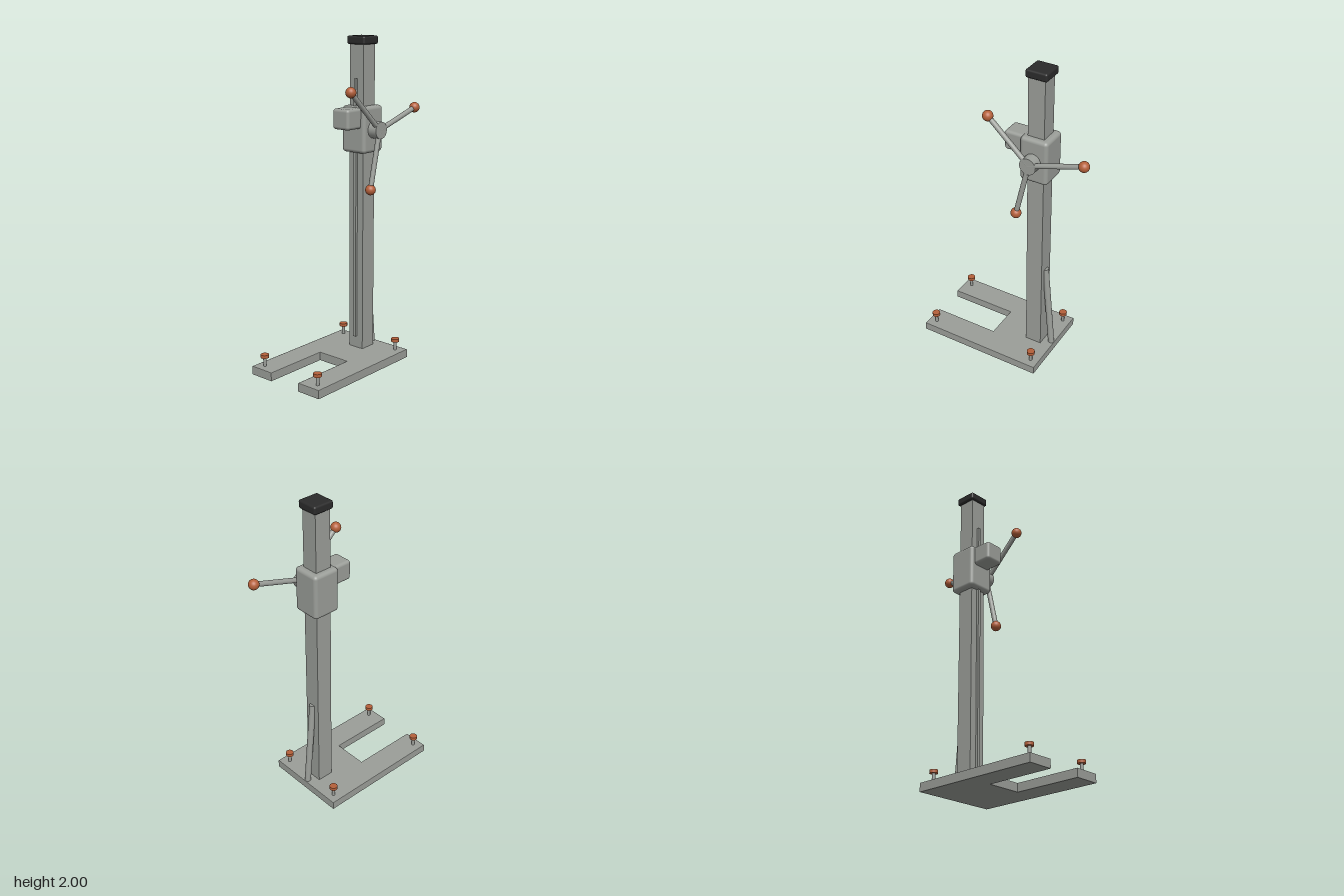
import * as THREE from 'three';
import { RoundedBoxGeometry } from 'three/addons/geometries/RoundedBoxGeometry.js';

export function createModel() {
  const model = new THREE.Group();
  model.name = 'drillStand';

  const material = (name, color) => {
    const m = new THREE.MeshStandardMaterial({ color });
    m.name = name;
    return m;
  };
  const grey = material('greyMetal', 0x9b9e99);
  const copper = material('copperOrange', 0xb5603a);
  const black = material('blackPlastic', 0x2b2b2b);

  const add = (name, geometry, mat, x = 0, y = 0, z = 0, parent = model) => {
    const mesh = new THREE.Mesh(geometry, mat);
    mesh.name = name;
    mesh.position.set(x, y, z);
    parent.add(mesh);
    return mesh;
  };

  // Round bar between two points
  const rod = (name, a, b, radius, parent = model) => {
    const dir = b.clone().sub(a);
    const mesh = add(name, new THREE.CylinderGeometry(radius, radius, dir.length(), 20), grey, 0, 0, 0, parent);
    mesh.position.copy(a).add(b).multiplyScalar(0.5);
    mesh.quaternion.setFromUnitVectors(new THREE.Vector3(0, 1, 0), dir.normalize());
    return mesh;
  };

  const columnZ = -0.163;

  // U-shaped foot plate with a slightly broken edge
  const bevel = 0.004;
  const outline = new THREE.Shape([
    [-0.27, -0.29], [0.27, -0.29], [0.27, 0.535], [0.11, 0.535],
    [0.11, 0.105], [-0.11, 0.105], [-0.11, 0.535], [-0.27, 0.535],
  ].map(([x, z]) => new THREE.Vector2(x, z)));
  const plate = new THREE.ExtrudeGeometry(outline, {
    depth: 0.055 - 2 * bevel, bevelEnabled: true, bevelThickness: bevel,
    bevelSize: bevel, bevelOffset: -bevel, bevelSegments: 2,
  });
  plate.rotateX(Math.PI / 2);
  add('base', plate, grey, 0, 0.055 - bevel, 0);

  // Levelling screws at the four corners
  for (const x of [-0.215, 0.215]) {
    for (const z of [-0.238, 0.483]) {
      const screw = new THREE.Group();
      screw.name = 'levellingScrew';
      screw.position.set(x, 0, z);
      model.add(screw);
      add('screwShaft', new THREE.CylinderGeometry(0.01, 0.01, 0.07, 16), grey, 0, 0.08, 0, screw);
      add('screwHead', new THREE.CylinderGeometry(0.025, 0.025, 0.02, 24), copper, 0, 0.119, 0, screw);
    }
  }

  // Column, end cap, front rack and rear brace
  add('column', new THREE.BoxGeometry(0.106, 1.91, 0.106), grey, 0, 1.005, columnZ);
  add('columnCap', new RoundedBoxGeometry(0.136, 0.05, 0.136, 3, 0.012), black, 0, 1.975, columnZ - 0.002);
  add('rack', new THREE.BoxGeometry(0.018, 1.62, 0.018), grey, 0, 0.94, -0.104);
  rod('rearBrace', new THREE.Vector3(0, 0.05, -0.268), new THREE.Vector3(0, 0.637, -0.215), 0.02);

  // Sliding carriage and motor mount
  add('carriage', new RoundedBoxGeometry(0.178, 0.282, 0.178, 4, 0.022), grey, 0, 1.447, columnZ - 0.002);
  add('motorMount', new RoundedBoxGeometry(0.124, 0.123, 0.14, 4, 0.018), grey, 0, 1.519, -0.03);

  // Feed wheel: hub with three levers and ball grips
  const feed = new THREE.Group();
  feed.name = 'feedHandle';
  feed.position.set(0.135, 1.447, columnZ);
  model.add(feed);
  const hub = add('hub', new THREE.CylinderGeometry(0.052, 0.052, 0.07, 32), grey, -0.02, 0, 0, feed);
  hub.rotation.z = Math.PI / 2;
  for (const degrees of [43, 163, 283]) {
    const a = THREE.MathUtils.degToRad(degrees);
    const end = new THREE.Vector3(0, Math.sin(a), Math.cos(a)).multiplyScalar(0.36);
    rod('lever', new THREE.Vector3(), end, 0.0155, feed);
    add('ballGrip', new THREE.SphereGeometry(0.032, 24, 16), copper, end.x, end.y, end.z, feed);
  }

  return model;
}
